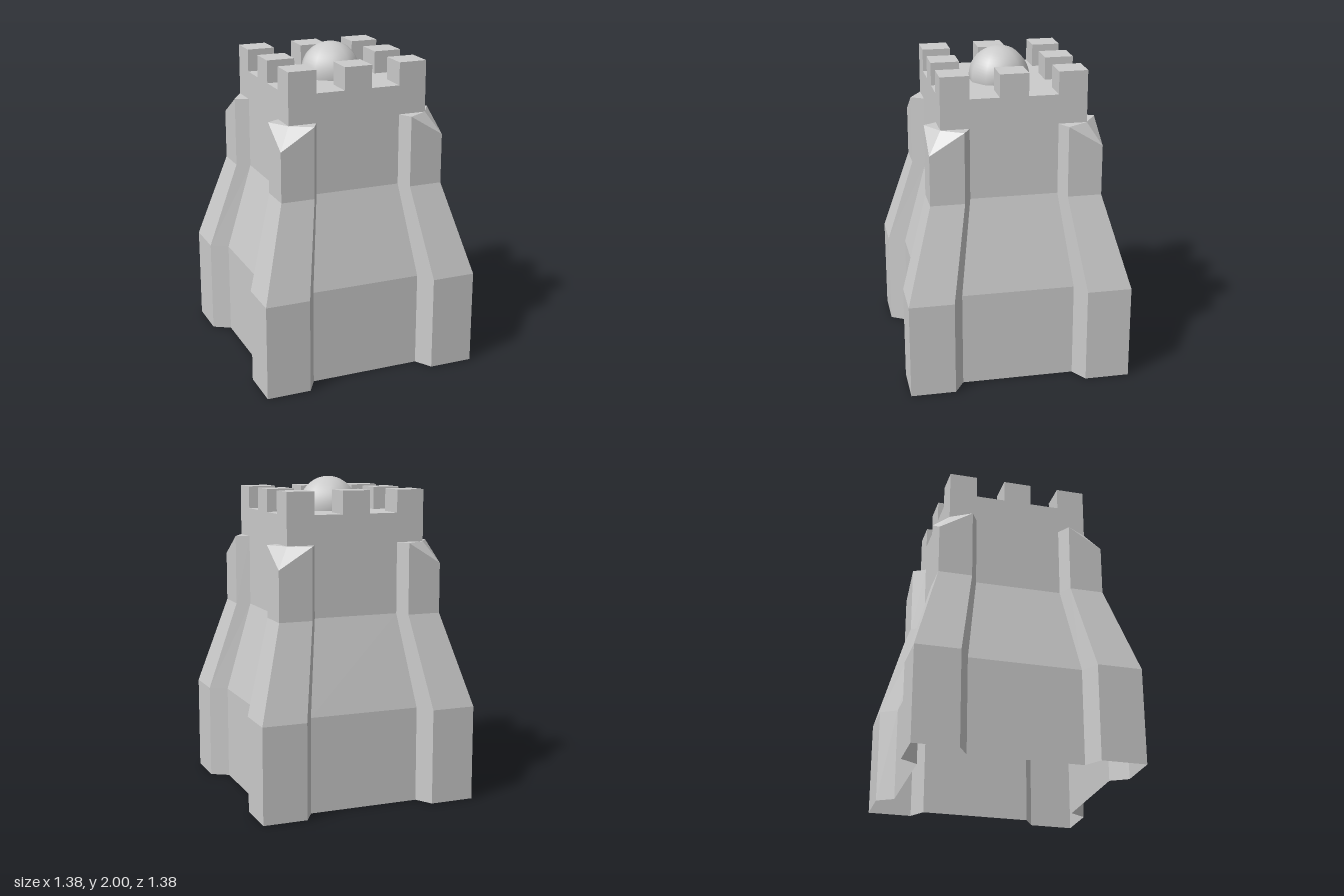
import * as THREE from 'three';

const flat = new THREE.MeshStandardMaterial({ color: 0xcccccc, flatShading: true, side: THREE.DoubleSide });
const smooth = new THREE.MeshStandardMaterial({ color: 0xcccccc, side: THREE.DoubleSide });

const WALL = 0.445, LEDGE = 1.61, DECK = 1.79, TOP = 1.93;

// Plan levels: wall face, wall/buttress joint, buttress edge, buttress face
const LEVELS = [
  { y: 0, wall: 0.585, joint: 0.35, edge: 0.413, out: 0.69 },
  { y: 0.595, wall: 0.585, joint: 0.35, edge: 0.413, out: 0.69 },
  { y: 1.17, wall: WALL, joint: 0.27, edge: 0.315, out: 0.525 },
  { y: LEDGE, wall: WALL, joint: 0.27, edge: 0.315, out: 0.525, cornerY: 1.48 },
];

// Quarter turns about the y axis
function turn([x, y, z], k) {
  for (let i = 0; i < k; i++) [x, z] = [z, -x];
  return [x, y, z];
}

// Closed outline of the square keep with its four corner buttresses
function outline({ y, wall, joint, edge, out, cornerY = y }) {
  const corner = [[joint, y, wall], [edge, y, out], [out, cornerY, out], [out, y, edge], [wall, y, joint]];
  return [0, 1, 2, 3].flatMap(k => corner.map(p => turn(p, k)));
}

function keepGeometry() {
  const rings = LEVELS.map(outline);
  const n = rings[0].length;
  const pos = [];
  const tri = (...pts) => pts.forEach(p => pos.push(...p));
  for (let r = 0; r < rings.length - 1; r++) {
    for (let i = 0; i < n; i++) {
      const j = (i + 1) % n, lo = rings[r], hi = rings[r + 1];
      tri(lo[i], lo[j], hi[j]);
      tri(lo[i], hi[j], hi[i]);
    }
  }
  // Sloping buttress tops, fanned from the wall corner
  const top = rings[rings.length - 1];
  for (let k = 0; k < 4; k++) {
    const hub = turn([WALL, LEDGE, WALL], k);
    for (let i = 0; i < 4; i++) tri(hub, top[k * 5 + i], top[k * 5 + i + 1]);
  }
  const g = new THREE.BufferGeometry();
  g.setAttribute('position', new THREE.Float32BufferAttribute(pos, 3));
  g.computeVertexNormals();
  return g;
}

export function createModel() {
  const model = new THREE.Group();
  model.name = 'castleTower';
  const add = (name, geometry, material = flat, parent = model) => {
    const mesh = new THREE.Mesh(geometry, material);
    mesh.name = name;
    parent.add(mesh);
    return mesh;
  };

  // Hollow keep, open underneath
  add('keepWalls', keepGeometry());

  // Parapet band and roof deck
  const radius = WALL * Math.SQRT2;
  const band = new THREE.CylinderGeometry(radius, radius, DECK - LEDGE, 4, 1, true);
  add('parapet', band.rotateY(Math.PI / 4).translate(0, (LEDGE + DECK) / 2, 0));
  add('roofDeck', new THREE.PlaneGeometry(2 * WALL, 2 * WALL).rotateX(-Math.PI / 2).translate(0, DECK, 0));

  // Eight merlons around the roof edge
  const merlons = new THREE.Group();
  merlons.name = 'merlons';
  model.add(merlons);
  const size = 0.176, offset = WALL - size / 2;
  for (let i = -1; i <= 1; i++) {
    for (let j = -1; j <= 1; j++) {
      if (i === 0 && j === 0) continue;
      const m = add('merlon', new THREE.BoxGeometry(size, TOP - DECK, size), flat, merlons);
      m.position.set(i * offset, (DECK + TOP) / 2, j * offset);
    }
  }

  // Ten-sided dome in the middle of the roof
  const dome = add('dome', new THREE.SphereGeometry(0.19, 10, 16, 0, Math.PI * 2, 0, Math.PI * 0.535), smooth);
  dome.position.set(0.004, 1.81, 0.006);

  return model;
}
